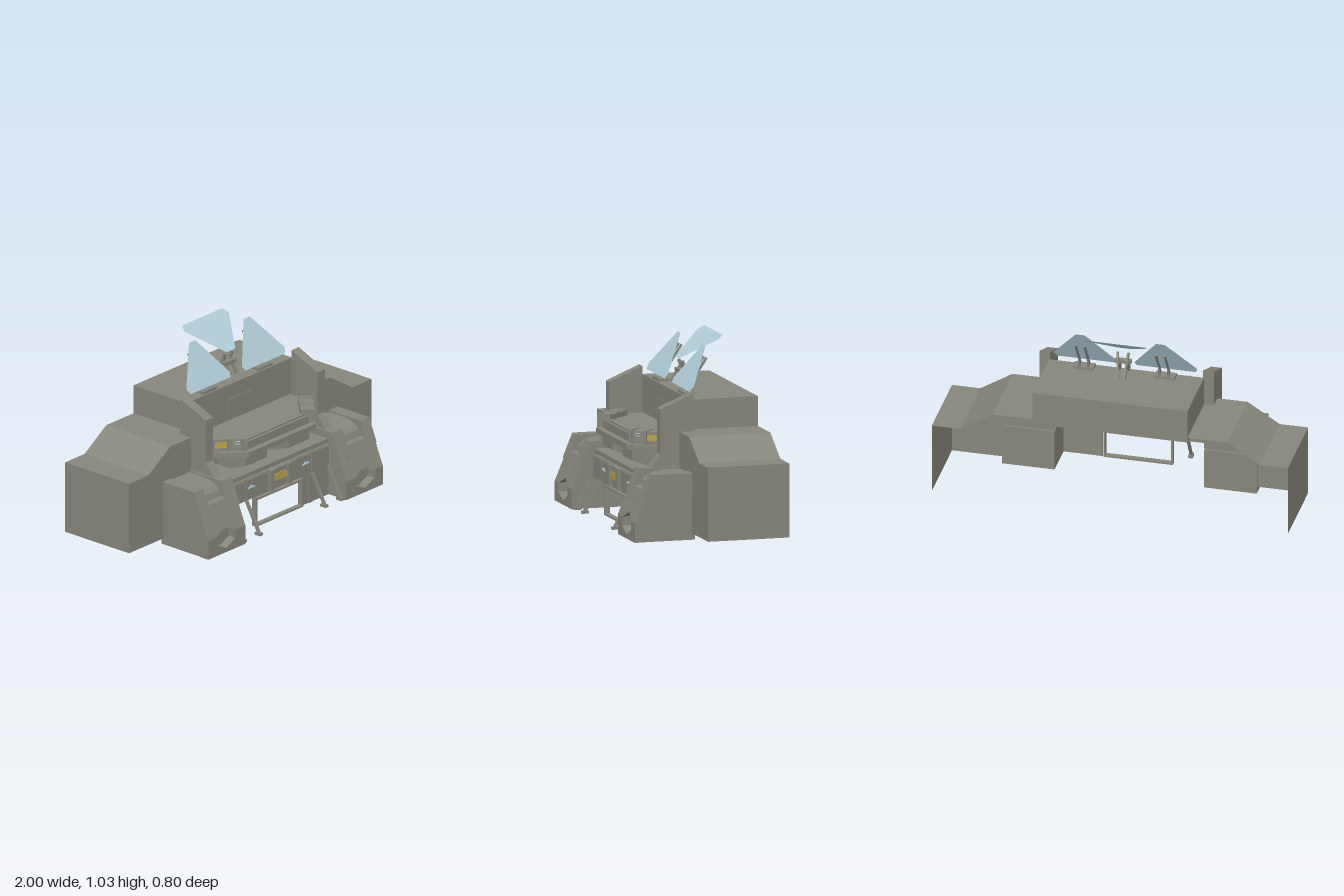
import * as THREE from 'three';

const mat = (name, color) => {
  const m = new THREE.MeshStandardMaterial({ color, side: THREE.DoubleSide, flatShading: true });
  m.name = name;
  return m;
};

export function createModel() {
  const root = new THREE.Group();
  root.name = 'fortifiedGate';
  const body = mat('stone grey', 0x85857b);
  const blue = mat('pale blue', 0xb0cbd6);
  const yellow = mat('lamp yellow', 0xb8a04a);

  const add = (parent, name, geo, m = body) => {
    const mesh = new THREE.Mesh(geo, m);
    mesh.name = name;
    parent.add(mesh);
    return mesh;
  };
  const shapeOf = (pts) => new THREE.Shape(pts.map((p) => new THREE.Vector2(p[0], p[1])));
  const extrude = (pts, depth) => new THREE.ExtrudeGeometry(shapeOf(pts), { depth, bevelEnabled: false });
  // profile in (z, y) swept along x
  const alongX = (pts, x0, x1) => extrude(pts, x1 - x0).rotateY(-Math.PI / 2).translate(x1, 0, 0);
  // plan in (x, z) swept along y
  const alongY = (pts, y0, y1) => extrude(pts, y1 - y0).rotateX(Math.PI / 2).translate(0, y1, 0);
  const box = (x0, x1, y0, y1, z0, z1) =>
    new THREE.BoxGeometry(x1 - x0, y1 - y0, z1 - z0).translate((x0 + x1) / 2, (y0 + y1) / 2, (z0 + z1) / 2);
  // open sheet: polyline in (x, y) swept from z0 to z1
  const sheet = (pts, z0, z1) => {
    const v = [];
    for (let i = 0; i < pts.length - 1; i++) {
      const [ax, ay] = pts[i], [bx, by] = pts[i + 1];
      v.push(ax, ay, z0, ax, ay, z1, bx, by, z1, ax, ay, z0, bx, by, z1, bx, by, z0);
    }
    const g = new THREE.BufferGeometry();
    g.setAttribute('position', new THREE.Float32BufferAttribute(v, 3));
    g.computeVertexNormals();
    return g;
  };
  const bar = (parent, name, a, b, w, h) => {
    const p = new THREE.Vector3(...a), q = new THREE.Vector3(...b);
    const m = add(parent, name, new THREE.BoxGeometry(w, h, p.distanceTo(q)));
    m.position.copy(p).add(q).multiplyScalar(0.5);
    m.quaternion.setFromUnitVectors(new THREE.Vector3(0, 0, 1), q.sub(p).normalize());
    return m;
  };
  // panel drawn in (x, y), tilted so that z follows y
  const tilted = (pts, y0, z0, y1, z1) => {
    const g = new THREE.ShapeGeometry(shapeOf(pts));
    const p = g.attributes.position;
    for (let i = 0; i < p.count; i++) p.setZ(i, z0 + ((p.getY(i) - y0) / (y1 - y0)) * (z1 - z0));
    g.computeVertexNormals();
    return g;
  };

  // central hall: open underneath
  add(root, 'hallShell', sheet([[-0.435, 0.53], [-0.435, 0.725], [0.435, 0.725], [0.435, 0.53]], -0.395, -0.01));
  add(root, 'hallBackWall', box(-0.435, 0.435, 0.53, 0.725, -0.395, -0.391));
  add(root, 'hallFrontWall', box(-0.435, 0.435, 0.44, 0.725, -0.014, -0.01));
  add(root, 'hallDoor', box(-0.1, 0.1, 0.53, 0.64, -0.01, -0.006));

  // balcony with chamfered corners
  const plan = (x, xc, zc, z) => [[-x, -0.01], [x, -0.01], [x, zc], [xc, z], [-xc, z], [-x, zc]];
  add(root, 'balconyFloor', alongY(plan(0.425, 0.275, 0.15, 0.305), 0.44, 0.47));
  add(root, 'balconyBody', alongY(plan(0.42, 0.26, 0.13, 0.27), 0.47, 0.515));
  add(root, 'balconyRail', box(-0.27, 0.27, 0.515, 0.524, 0.235, 0.255));
  add(root, 'recessWall', box(-0.43, 0.43, 0.33, 0.44, 0.04, 0.06));

  // lower deck and front band
  add(root, 'deck', box(-0.43, 0.43, 0.305, 0.33, 0.04, 0.27));
  add(root, 'deckGap', box(-0.42, 0.42, 0.295, 0.305, 0.06, 0.25));
  add(root, 'frontBand', box(-0.42, 0.42, 0.17, 0.295, 0.24, 0.27));
  for (const s of [-1, 1]) {
    add(root, 'bandPanel', box(s * 0.18 - 0.085, s * 0.18 + 0.085, 0.18, 0.29, 0.27, 0.277));
    add(root, 'bandEndPanel', box(s * 0.345 - 0.07, s * 0.345 + 0.07, 0.18, 0.29, 0.27, 0.277));
    add(root, 'lampPost', box(s * 0.072 - 0.013, s * 0.072 + 0.013, 0.18, 0.3, 0.27, 0.3));
  }
  add(root, 'lampHousing', box(-0.06, 0.06, 0.19, 0.295, 0.27, 0.285));
  add(root, 'centreLamp', extrude([[-0.062, 0.225], [0.062, 0.225], [0.062, 0.252], [0.045, 0.265],
    [-0.045, 0.265], [-0.062, 0.252]], 0.005).translate(0, 0, 0.285), yellow);

  // gate frame and side panel
  for (const s of [-1, 1]) add(root, 'gatePost', box(s * 0.19 - 0.005, s * 0.19 + 0.005, 0, 0.17, 0.255, 0.285));
  for (const y of [0.005, 0.16]) add(root, 'gateRail', box(-0.19, 0.19, y - 0.005, y + 0.005, 0.255, 0.285));
  add(root, 'gateSidePanel', box(0.2, 0.42, 0, 0.17, 0.262, 0.27));
  add(root, 'gateSideRib', box(0.25, 0.28, 0, 0.17, 0.27, 0.276));

  // everything that is mirrored
  for (const s of [1, -1]) {
    const side = new THREE.Group();
    side.name = s > 0 ? 'leftSide' : 'rightSide';
    side.scale.x = s;
    root.add(side);

    // wing: open at back and bottom
    const roof = [[1, 0.035], [1, 0.445], [0.84, 0.445], [0.66, 0.56], [0.435, 0.56]];
    add(side, 'wingShell', sheet(roof, -0.395, 0.07));
    add(side, 'wingFrontWall', new THREE.ShapeGeometry(shapeOf([...roof, [0.435, 0.37], [0.5, 0.37], [0.5, 0.035]])).translate(0, 0, 0.07));

    // tall fin beside the hall
    add(side, 'fin', alongX([[-0.01, 0.37], [0.235, 0.37], [0.18, 0.44], [0.18, 0.69], [-0.01, 0.77]], 0.43, 0.49));

    // foot tower
    add(side, 'towerCore', alongX([[0.055, 0], [0.35, 0], [0.35, 0.11], [0.295, 0.235], [0.055, 0.235]], 0.42, 0.715));
    add(side, 'towerBase', extrude([[0.415, 0], [0.72, 0], [0.72, 0.11], [0.65, 0.11], [0.65, 0.06],
      [0.572, 0.025], [0.495, 0.06], [0.495, 0.11], [0.415, 0.11]], 0.06).translate(0, 0, 0.34));
    const slope = extrude([[0.415, 0.11], [0.495, 0.11], [0.572, 0.148], [0.65, 0.11], [0.72, 0.11],
      [0.72, 0.235], [0.415, 0.235]], 0.06).translate(0, 0, 0.34);
    const sp = slope.attributes.position;
    for (let i = 0; i < sp.count; i++) sp.setZ(i, sp.getZ(i) - (sp.getY(i) - 0.11) * 0.42);
    slope.computeVertexNormals();
    add(side, 'towerSlope', slope);
    for (const [x0, x1] of [[0.415, 0.5], [0.65, 0.72]]) {
      add(side, 'towerCheek', alongX([[0.07, 0.235], [0.355, 0.235], [0.30, 0.37], [0.07, 0.37]], x0, x1));
    }
    add(side, 'towerSaddle', alongX([[0.07, 0.235], [0.32, 0.235], [0.3, 0.275], [0.285, 0.315], [0.255, 0.34],
      [0.21, 0.355], [0.15, 0.36], [0.07, 0.36]], 0.5, 0.65));
    add(side, 'towerCollar', alongX([[0.3, 0.2], [0.372, 0.2], [0.338, 0.282], [0.28, 0.282]], 0.48, 0.67));

    // support under the balcony
    add(side, 'bracket', alongX([[0.06, 0.33], [0.15, 0.33], [0.27, 0.375], [0.27, 0.44], [0.06, 0.44]], 0.09, 0.26));

    // corner lookout pod, set along the chamfer
    const pod = new THREE.Group();
    pod.name = 'lookoutPod';
    pod.position.set(0.335, 0.512, 0.21);
    pod.rotation.y = Math.PI / 4;
    side.add(pod);
    add(pod, 'podBody', box(-0.1, 0.1, -0.03, 0.033, -0.06, 0.015));
    for (const x of [-0.09, 0, 0.09]) add(pod, 'podRib', box(x - 0.01, x + 0.01, -0.035, 0.038, -0.06, 0.024));
    add(pod, 'podLamp', box(0.012, 0.078, -0.015, 0.018, 0.015, 0.02), yellow);
    for (const y of [0.005, 0.018]) add(pod, 'podSlit', box(-0.06, -0.03, y, y + 0.004, 0.015, 0.019), blue);

    // band light
    add(side, 'bandLight', extrude([[0.19, 0.24], [0.255, 0.24], [0.235, 0.254], [0.215, 0.254]], 0.005).translate(0, 0, 0.277), blue);

    // slanted props
    for (const x of [0.27, 0.4]) {
      bar(side, 'prop', [x, 0.18, 0.28], [x, 0.008, 0.375], 0.014, 0.016);
      add(side, 'propFoot', box(x - 0.012, x + 0.012, 0, 0.015, 0.35, 0.39));
    }

    // side reflector on the roof
    add(side, 'reflector', tilted([[0.06, 0.76], [0.39, 0.76], [0.405, 0.79], [0.25, 0.985], [0.2, 0.985], [0.05, 0.785]],
      0.76, -0.02, 0.985, -0.155), blue);
    add(side, 'reflectorPad', box(0.17, 0.285, 0.725, 0.74, -0.08, -0.02));
    for (const x of [0.2, 0.25]) {
      bar(side, 'reflectorStrut', [x, 0.755, -0.05], [x, 0.92, -0.16], 0.01, 0.012);
      bar(side, 'reflectorLeg', [x, 0.73, -0.07], [x, 0.82, -0.085], 0.01, 0.014);
    }

    // stand of the central reflector
    bar(side, 'standLeg', [0.018, 0.727, -0.14], [0.03, 0.87, -0.09], 0.012, 0.018);
    bar(side, 'standArm', [0.025, 0.75, -0.05], [0.025, 0.83, -0.1], 0.01, 0.025);
  }

  // central reflector
  add(root, 'standBar', box(-0.045, 0.045, 0.805, 0.825, -0.1, -0.07));
  add(root, 'centreReflector', tilted([[-0.035, 0.885], [0.035, 0.885], [0.185, 1.005], [0.165, 1.026],
    [-0.165, 1.026], [-0.185, 1.005]], 0.885, -0.07, 1.026, -0.28), blue);

  return root;
}
